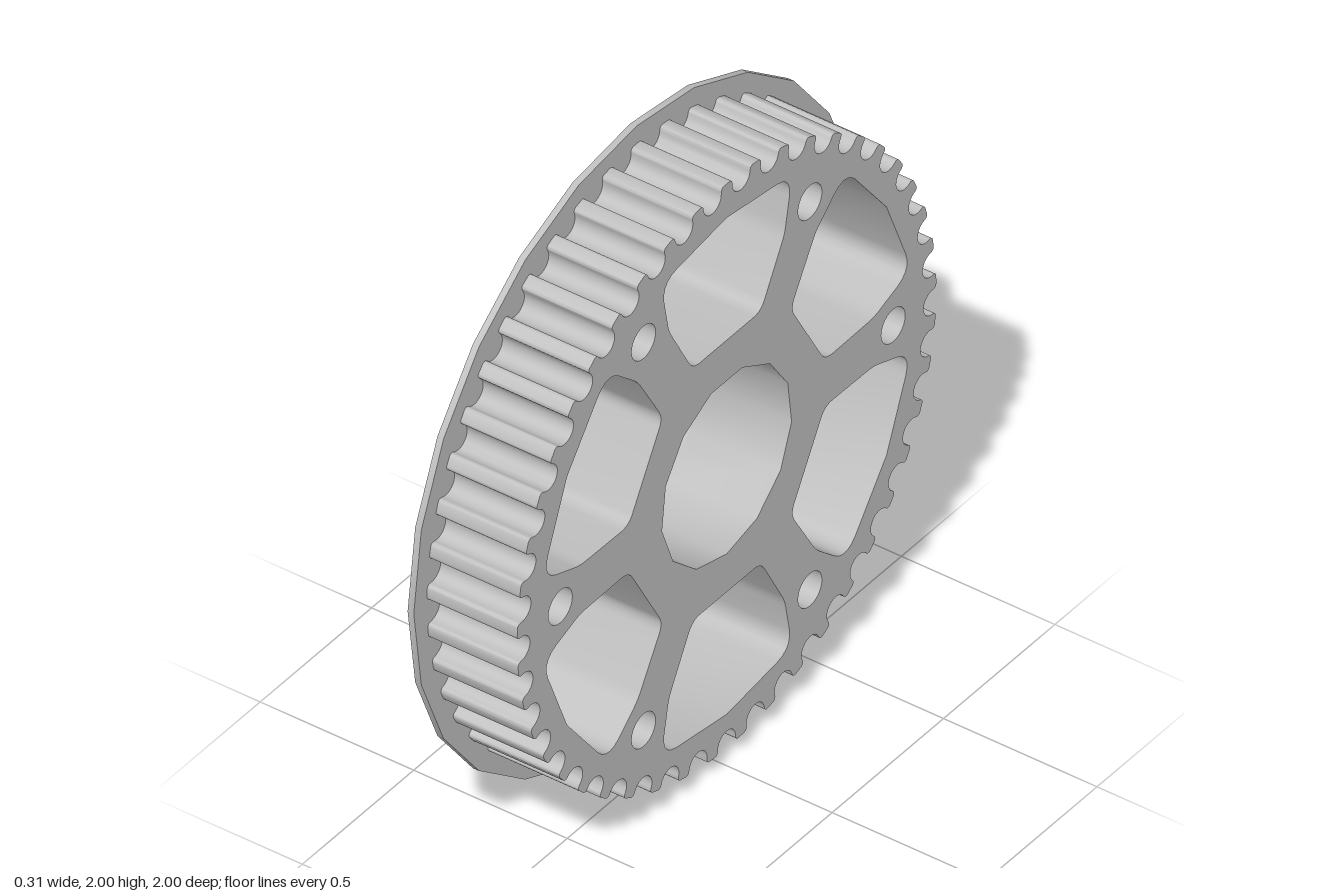
import * as THREE from 'three';
import { toCreasedNormals } from 'three/addons/utils/BufferGeometryUtils.js';

const TEETH = 45, TIP_R = 0.941;
const GROOVE_R = 0.04, GROOVE_CENTRE = 0.924, FILLET = 0.012;

// Regular polygon points, first corner at angle start
function ring(radius, sides, start = 0, cx = 0, cy = 0) {
  return Array.from({ length: sides }, (_, i) => {
    const a = start + (i / sides) * Math.PI * 2;
    return new THREE.Vector2(cx + radius * Math.cos(a), cy + radius * Math.sin(a));
  });
}

const turn = (points, angle) =>
  points.map((p) => p.clone().rotateAround(new THREE.Vector2(), angle));

// Round-bottomed belt groove with softened lips, centred on +y, from +x to -x
function grooveProfile() {
  const half = [];
  const lipX = GROOVE_R + FILLET;
  const lipY = Math.sqrt(TIP_R ** 2 - lipX ** 2) - FILLET;
  for (let i = 0; i <= 4; i++) {
    const a = Math.PI / 2 + (i / 4) * (Math.PI / 2);
    half.push(new THREE.Vector2(lipX + FILLET * Math.cos(a), lipY + FILLET * Math.sin(a)));
  }
  for (let i = 0; i <= 6; i++) {
    const a = -(i / 6) * (Math.PI / 2);
    half.push(new THREE.Vector2(GROOVE_R * Math.cos(a), GROOVE_CENTRE + GROOVE_R * Math.sin(a)));
  }
  const mirrored = half.slice(0, -1).reverse().map((p) => new THREE.Vector2(-p.x, p.y));
  return [...half, ...mirrored];
}

// Toothed outline with a tooth at the top and a groove at the bottom
function toothedOutline() {
  const groove = grooveProfile();
  const points = [];
  for (let i = 0; i < TEETH; i++) {
    points.push(...turn(groove, ((i + 0.5) / TEETH) * Math.PI * 2));
  }
  return points;
}

// Lightening window between two spokes, centred on +y
function windowOutline() {
  const path = new THREE.Path();
  path.moveTo(0, 0.42);
  path.lineTo(0.122, 0.42);
  path.quadraticCurveTo(0.153, 0.42, 0.17, 0.45);
  path.lineTo(0.246, 0.587);
  path.quadraticCurveTo(0.262, 0.615, 0.266, 0.645);
  path.lineTo(0.281, 0.722);
  path.bezierCurveTo(0.288, 0.765, 0.268, 0.79, 0.226, 0.797);
  path.lineTo(0, 0.828);
  const half = path.getPoints(5);
  const mirrored = half.slice(1, -1).reverse().map((p) => new THREE.Vector2(-p.x, p.y));
  return [...half, ...mirrored];
}

// Plate with bore, six windows and six bolt holes, running along x
function plate(name, outline, x0, x1, material) {
  const shape = new THREE.Shape(outline);
  shape.holes.push(new THREE.Path(ring(0.293, 13, -Math.PI / 2)));
  const win = windowOutline();
  for (let i = 0; i < 6; i++) {
    const a = (i * Math.PI) / 3;
    shape.holes.push(new THREE.Path(turn(win, a)));
    shape.holes.push(new THREE.Path(ring(0.054, 24, 0, 0.747 * Math.cos(a), 0.747 * Math.sin(a))));
  }
  const geometry = new THREE.ExtrudeGeometry(shape, { depth: x1 - x0, bevelEnabled: false });
  geometry.translate(0, 0, x0);
  geometry.rotateY(Math.PI / 2);
  const mesh = new THREE.Mesh(toCreasedNormals(geometry, 0.6), material);
  mesh.name = name;
  mesh.position.y = 1;
  return mesh;
}

export function createModel() {
  const metal = new THREE.MeshStandardMaterial({ color: 0xbfbfbf });
  metal.name = 'grey metal';
  const group = new THREE.Group();
  group.name = 'timingPulley';
  group.add(plate('flange', ring(1, 24), -0.157, -0.137, metal));
  group.add(plate('toothedWheel', toothedOutline(), -0.137, 0.157, metal));
  return group;
}
